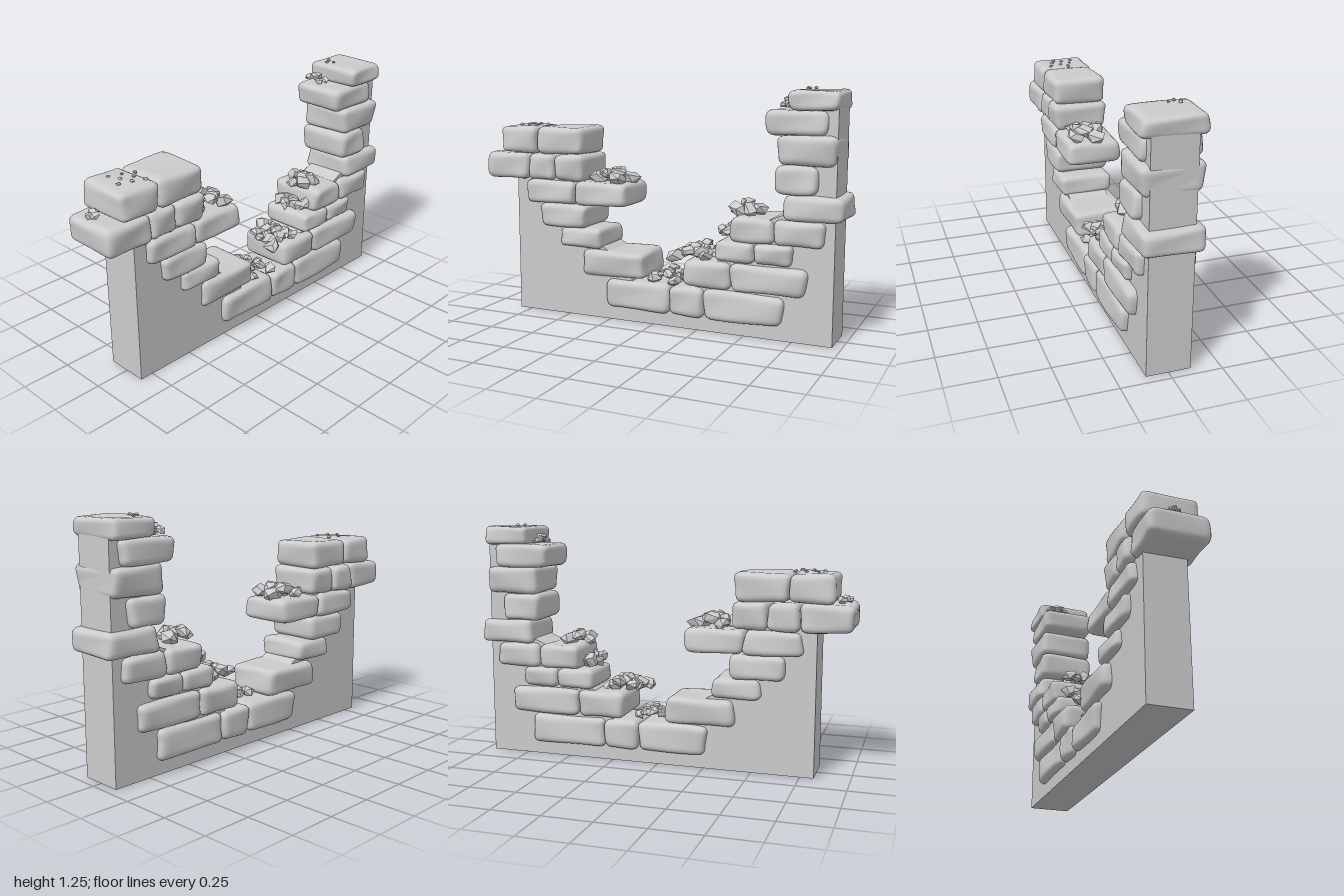
import * as THREE from 'three';
import { mergeVertices } from 'three/addons/utils/BufferGeometryUtils.js';
import { ConvexGeometry } from 'three/addons/geometries/ConvexGeometry.js';

const smooth = new THREE.MeshStandardMaterial({ color: 0xcccccc });
const faceted = new THREE.MeshStandardMaterial({ color: 0xcccccc, flatShading: true });

function seeded(seed) {
  return () => {
    seed = (seed * 16807) % 2147483647;
    return seed / 2147483647;
  };
}

// Worn block: a box with rounded edges, slightly skewed and dented
function stoneGeometry(w, h, d, rand) {
  let geo = new THREE.BoxGeometry(2, 2, 2, 10, 10, 10);
  geo.deleteAttribute('uv');
  geo.deleteAttribute('normal');
  geo = mergeVertices(geo);
  const half = new THREE.Vector3(w / 2, h / 2, d / 2);
  const r = Math.min(0.034, h * 0.3);
  const core = half.clone().subScalar(r);
  const low = core.clone().negate();
  const spread = t => Math.sign(t) * Math.pow(Math.abs(t), 0.55);
  const phase = [0, 1, 2, 3].map(() => rand() * 6.28);
  const skew = [0, 1, 2].map(() => (rand() - 0.5) * 0.07);
  const pos = geo.attributes.position;
  const p = new THREE.Vector3(), inner = new THREE.Vector3();
  for (let i = 0; i < pos.count; i++) {
    p.fromBufferAttribute(pos, i);
    p.set(spread(p.x), spread(p.y), spread(p.z)).multiply(half);
    inner.copy(p).clamp(low, core);
    p.sub(inner).setLength(r).add(inner);
    const u = p.x / half.x, v = p.y / half.y, t = p.z / half.z;
    p.x *= 1 + 0.03 * Math.sin(v * 2 + t * 2.3 + phase[0]) + skew[0] * v;
    p.y *= 1 + 0.04 * Math.sin(u * 1.9 + t * 2.6 + phase[1]) + skew[1] * t;
    p.z *= 1 + 0.025 * Math.sin(v * 2.4 + u * 1.7 + phase[2]) + skew[2] * v;
    pos.setXYZ(i, p.x, p.y, p.z);
  }
  geo.computeVertexNormals();
  return geo;
}

// Angular broken chunk: hull of scattered points on an ellipsoid
function chunkGeometry(sx, sy, sz, rand) {
  const pts = [];
  for (let i = 0; i < 10; i++) {
    const y = 1 - 2 * (i + 0.5) / 10;
    const a = i * 2.4 + rand() * 0.9;
    const r = Math.sqrt(1 - y * y) * (0.8 + rand() * 0.35);
    pts.push(new THREE.Vector3(Math.cos(a) * r * sx, y * sy, Math.sin(a) * r * sz));
  }
  return new ConvexGeometry(pts);
}

// Each course: bottom, top, then [z min, z max, x offset] for every stone
const courses = [
  [0.07, 0.225, [[-0.10, 0.265, 0], [-0.29, -0.10, 0], [-0.705, -0.29, 0]]],
  [0.232, 0.372, [[0.05, 0.41, -0.008], [-0.435, -0.18, 0], [-0.82, -0.435, 0.003]]],
  [0.38, 0.485, [[0.295, 0.545, 0], [-0.555, -0.35, 0], [-0.75, -0.555, 0]]],
  [0.483, 0.61, [[0.385, 0.665, 0], [-0.655, -0.43, 0], [-0.905, -0.655, 0]]],
  [0.61, 0.735, [[0.455, 0.75, 0], [0.15, 0.455, -0.003], [-0.995, -0.70, 0]]],
  [0.735, 0.877, [[0.735, 0.995, 0.006], [0.575, 0.735, -0.005], [0.395, 0.575, 0], [-0.865, -0.655, 0]]],
  [0.877, 1.022, [[0.68, 0.905, 0.002], [0.405, 0.68, 0], [-0.955, -0.665, 0]]],
  [1.018, 1.142, [[-0.905, -0.60, -0.01]]],
  [1.14, 1.235, [[-0.96, -0.715, -0.003]]],
];

// Rubble heaps: [z min, z max, base y, peak y, x min, x max, chunk radius, count]
const heaps = [
  [0.19, 0.37, 0.745, 0.80, -0.07, 0.10, 0.06, 8],
  [-0.14, 0.03, 0.235, 0.28, -0.07, 0.11, 0.038, 11],
  [-0.31, -0.12, 0.38, 0.44, -0.06, 0.12, 0.048, 15],
  [-0.43, -0.36, 0.51, 0.55, -0.09, 0.10, 0.05, 6],
  [-0.54, -0.41, 0.625, 0.67, -0.06, 0.07, 0.055, 6],
  [-0.69, -0.64, 1.155, 1.185, -0.13, 0.0, 0.032, 5],
  [0.92, 0.97, 0.89, 0.905, -0.05, 0.01, 0.03, 3],
  [0.68, 0.84, 1.025, 1.03, -0.06, 0.10, 0.013, 8],
  [-0.80, -0.75, 1.24, 1.243, -0.11, -0.03, 0.015, 3],
  [0.24, 0.30, 0.608, 0.612, -0.02, 0.05, 0.014, 2],
];

export function createModel() {
  const model = new THREE.Group();
  model.name = 'ruinedWall';

  // Plain wall core with a broken, stepped upper edge (drawn in z and y)
  const outline = [
    [0.82, 0], [0.82, 0.80], [0.46, 0.80], [0.48, 0.66], [0.45, 0.54], [0.36, 0.43],
    [0.14, 0.30], [0.10, 0.15], [-0.24, 0.15], [-0.26, 0.30], [-0.43, 0.43],
    [-0.50, 0.55], [-0.76, 0.66], [-0.76, 1.19], [-0.953, 1.19], [-0.953, 0],
  ];
  const shape = new THREE.Shape(outline.map(([z, y]) => new THREE.Vector2(-z, y)));
  const coreGeo = new THREE.ExtrudeGeometry(shape, { depth: 0.22, bevelEnabled: false });
  coreGeo.translate(0, 0, -0.11).rotateY(Math.PI / 2);
  const core = new THREE.Mesh(coreGeo, faceted);
  core.name = 'wallCore';
  model.add(core);

  // Stone courses, each block spanning the full wall thickness
  const rand = seeded(4217);
  const stones = new THREE.Group();
  stones.name = 'stones';
  courses.forEach(([y0, y1, blocks], row) => {
    blocks.forEach(([z0, z1, x], i) => {
      const width = 0.288 + rand() * 0.018;
      const stone = new THREE.Mesh(stoneGeometry(width, y1 - y0, z1 - z0, rand), smooth);
      stone.position.set(x, (y0 + y1) / 2, (z0 + z1) / 2);
      stone.name = `stone${row + 1}_${i + 1}`;
      stones.add(stone);
    });
  });
  model.add(stones);

  // Broken chunks heaped on the ledges, higher towards the heap's middle
  heaps.forEach(([z0, z1, y0, y1, x0, x1, size, count], h) => {
    const heap = new THREE.Group();
    heap.name = `rubble${h + 1}`;
    for (let i = 0; i < count; i++) {
      const u = (i + 0.5) / count, v = (i * 0.618 + 0.3) % 1;
      const s = size * (0.75 + rand() * 0.4);
      const chunk = new THREE.Mesh(chunkGeometry(s, s * 0.65, s * 0.85, rand), faceted);
      const rise = Math.max(0, 1 - 2 * Math.abs(u - 0.5)) * (0.5 + 0.5 * rand());
      chunk.position.set(x0 + (x1 - x0) * v, y0 + (y1 - y0) * rise, z0 + (z1 - z0) * u);
      chunk.rotation.set((rand() - 0.5) * 0.9, rand() * 6.28, (rand() - 0.5) * 0.9);
      chunk.name = 'chunk';
      heap.add(chunk);
    }
    model.add(heap);
  });
  return model;
}
